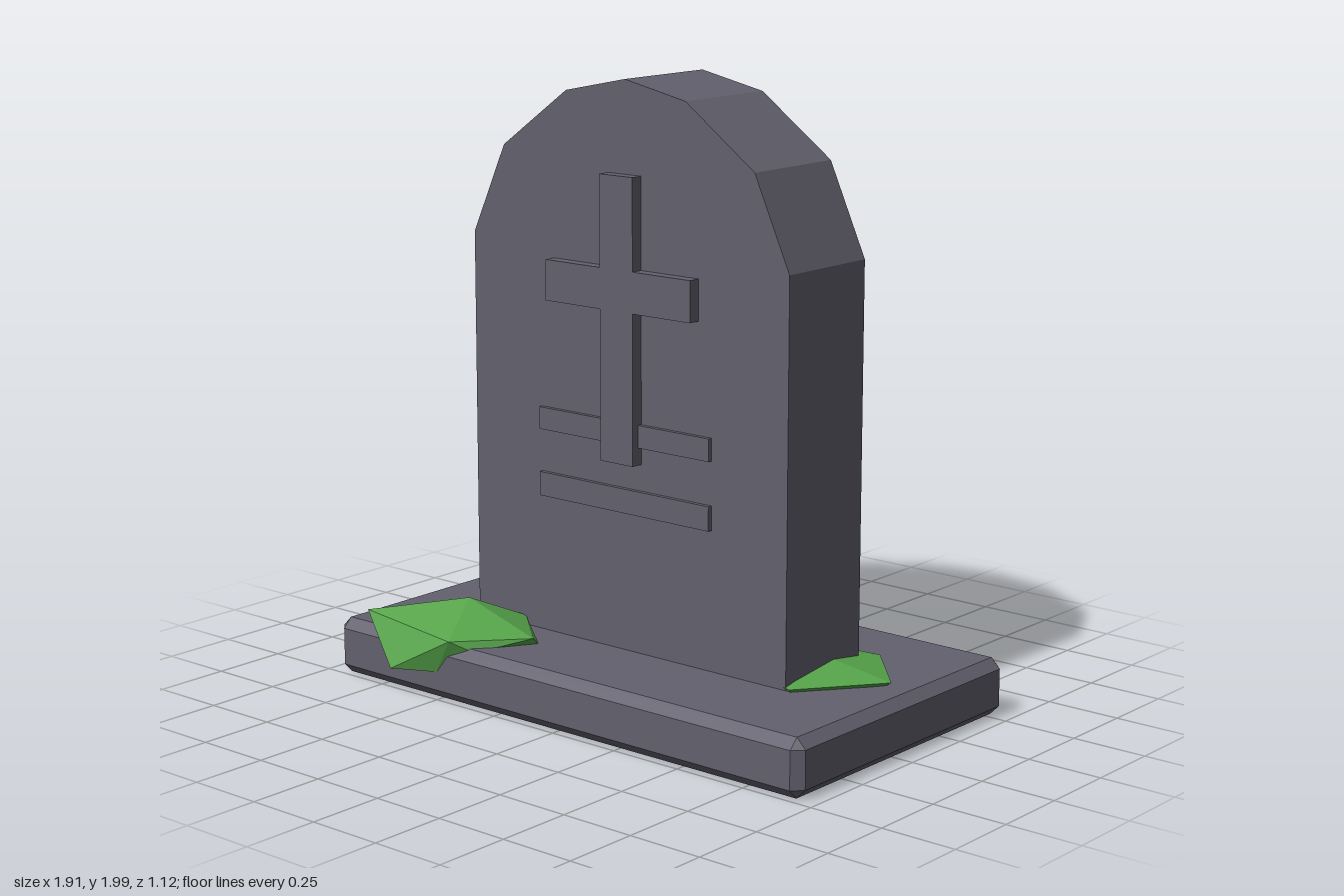
import * as THREE from 'three';
import { ConvexGeometry } from 'three/addons/geometries/ConvexGeometry.js';

export function createModel() {
  const stone = new THREE.MeshStandardMaterial({ color: 0x62606d });
  stone.name = 'stone';
  const moss = new THREE.MeshStandardMaterial({ color: 0x56a34a });
  moss.name = 'moss';

  const model = new THREE.Group();
  model.name = 'gravestone';

  const add = (name, geometry, material) => {
    const mesh = new THREE.Mesh(geometry, material);
    mesh.name = name;
    model.add(mesh);
    return mesh;
  };
  const hull = (points) => new ConvexGeometry(points.map((p) => new THREE.Vector3(...p)));
  const box = (name, x0, x1, y0, y1, z0, z1) =>
    add(name, new THREE.BoxGeometry(x1 - x0, y1 - y0, z1 - z0), stone)
      .position.set((x0 + x1) / 2, (y0 + y1) / 2, (z0 + z1) / 2);

  // Plinth: a block with every edge chamfered
  const half = [0.955, 0.093, 0.53];
  const c = 0.032;
  const corners = [];
  for (const sx of [-1, 1]) for (const sy of [-1, 1]) for (const sz of [-1, 1]) {
    for (let axis = 0; axis < 3; axis++) {
      corners.push([sx, sy, sz].map((s, i) => s * (half[i] - (i === axis ? 0 : c))));
    }
  }
  add('plinth', hull(corners), stone).position.set(0, 0.105, -0.03);

  // Upright slab with a faceted arched top
  const arch = [[0.638, 0.15], [0.638, 1.47], [0.505, 1.76], [0.24, 1.95], [0, 2]];
  const mirrored = arch.slice(0, -1).reverse().map(([x, y]) => [-x, y]);
  const outline = new THREE.Shape([...arch, ...mirrored].map((p) => new THREE.Vector2(...p)));
  add('slab', new THREE.ExtrudeGeometry(outline, { depth: 0.37, bevelEnabled: false }), stone)
    .position.z = -0.215;

  // Raised cross and two inscription bars
  box('crossUpright', -0.068, 0.065, 0.81, 1.71, 0.14, 0.196);
  box('crossArm', -0.295, 0.292, 1.29, 1.42, 0.14, 0.195);
  box('upperBar', -0.35, 0.346, 0.865, 0.937, 0.14, 0.17);
  box('lowerBar', -0.35, 0.346, 0.647, 0.725, 0.14, 0.17);

  // Front moss clump, hanging over the plinth edge
  add('frontMoss', hull([
    [-0.53, 0.305, 0.315],
    [-0.84, 0.24, 0.47], [-0.71, 0.225, 0.215], [-0.44, 0.225, 0.145],
    [-0.255, 0.22, 0.31], [-0.43, 0.222, 0.515],
    [-0.65, 0.1, 0.558], [-0.5, 0.105, 0.5], [-0.37, 0.185, 0.46],
    [-0.8, 0.18, 0.42], [-0.255, 0.195, 0.285], [-0.6, 0.12, 0.2],
  ]), moss);

  // Side moss clump, tucked behind the slab's left edge
  add('sideMoss', hull([
    [0.56, 0.25, -0.085],
    [0.38, 0.22, -0.235], [0.655, 0.205, -0.305], [0.857, 0.21, -0.085],
    [0.66, 0.208, 0.165], [0.4, 0.2, 0.08],
    [0.66, 0.15, -0.26], [0.77, 0.15, -0.08], [0.64, 0.15, 0.12], [0.42, 0.15, -0.18],
  ]), moss);

  return model;
}
